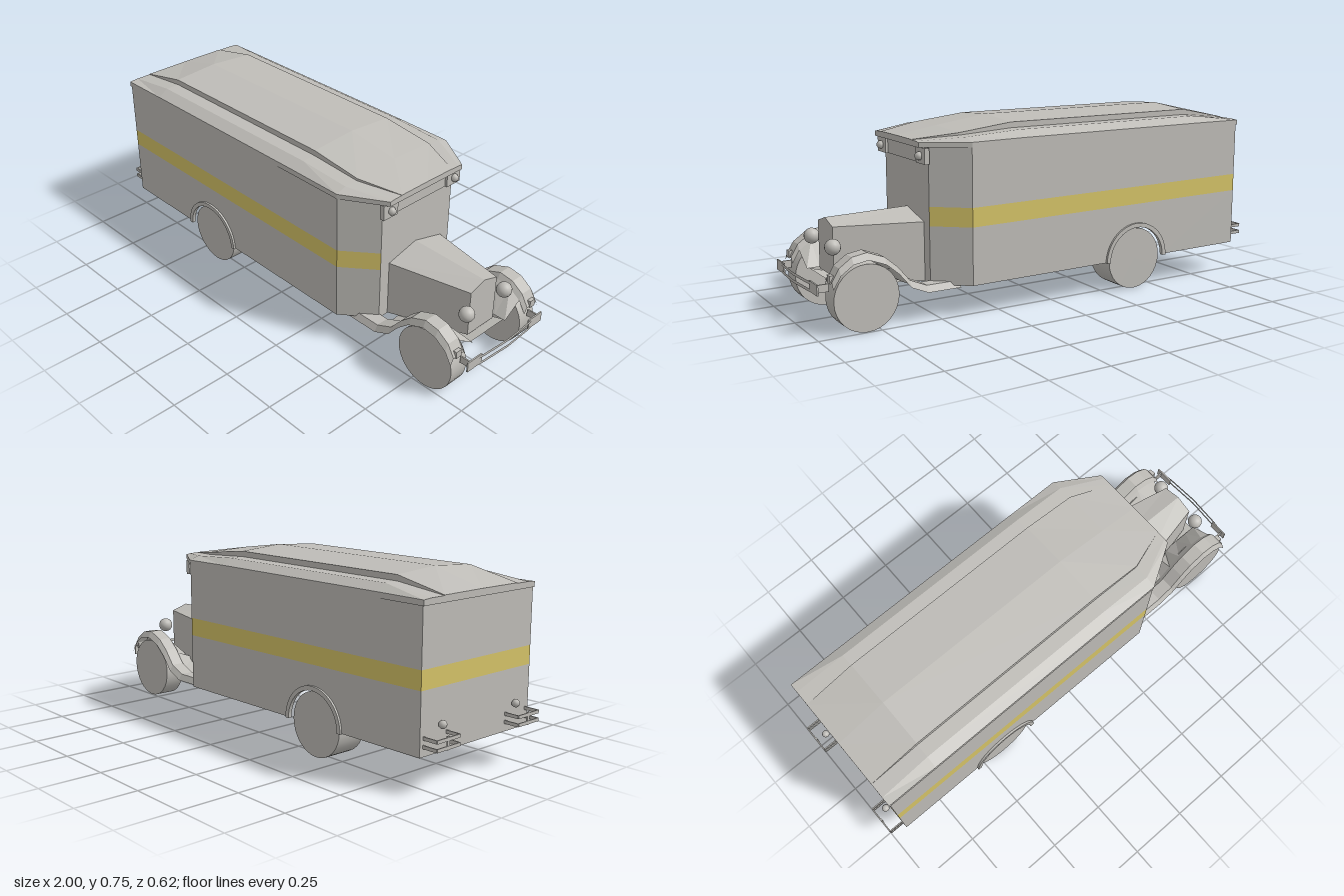
import * as THREE from 'three';

const grey = new THREE.MeshStandardMaterial({ color: 0xbfbdb8, side: THREE.DoubleSide });
grey.name = 'grey paint';
const yellow = new THREE.MeshStandardMaterial({ color: 0xd6c468, side: THREE.DoubleSide });
yellow.name = 'yellow stripe';

// Faceted sheet lofted through rows of [x, y, z] points
function sheet(rows) {
  const v = [];
  for (let i = 0; i + 1 < rows.length; i++) {
    for (let j = 0; j + 1 < rows[i].length; j++) {
      const a = rows[i][j], b = rows[i][j + 1], c = rows[i + 1][j + 1], d = rows[i + 1][j];
      v.push(...a, ...b, ...c, ...a, ...c, ...d);
    }
  }
  const g = new THREE.BufferGeometry();
  g.setAttribute('position', new THREE.Float32BufferAttribute(v, 3));
  g.computeVertexNormals();
  return g;
}

export function createModel() {
  const model = new THREE.Group();
  model.name = 'van';
  const add = (name, geo, mat = grey, x = 0, y = 0, z = 0) => {
    const m = new THREE.Mesh(geo, mat);
    m.name = name;
    m.position.set(x, y, z);
    model.add(m);
    return m;
  };
  const box = (name, w, h, d, x, y, z) => add(name, new THREE.BoxGeometry(w, h, d), grey, x, y, z);

  const rear = -0.935, corner = 0.39, nose = 0.52, wheelX = -0.395;
  // Wall levels at the back and front: sill, stripe bottom, stripe top, eave
  const back = [0.135, 0.372, 0.445, 0.68], front = [0.128, 0.358, 0.434, 0.67];

  for (const s of [1, -1]) {
    // Lower side wall with the rear wheel opening
    const low = new THREE.Shape();
    low.moveTo(rear, back[0]);
    low.lineTo(wheelX - 0.14, 0.132);
    low.absarc(wheelX, 0.132, 0.14, Math.PI, 0, true);
    low.lineTo(corner, front[0]);
    low.lineTo(corner, front[1]);
    low.lineTo(rear, back[1]);
    add('lowerSideWall', new THREE.ShapeGeometry(low, 24), grey, 0, 0, s * 0.302);

    // Stripe, upper wall and angled front corners
    for (let i = 0; i < 3; i++) {
      const mat = i === 1 ? yellow : grey;
      if (i > 0) add(i === 1 ? 'sideStripe' : 'upperSideWall', sheet([
        [[rear, back[i], s * 0.302], [corner, front[i], s * 0.302]],
        [[rear, back[i + 1], s * 0.302], [corner, front[i + 1], s * 0.302]]]), mat);
      add(i === 1 ? 'cornerStripe' : 'cornerPanel', sheet([
        [[corner, front[i], s * 0.302], [nose, front[i], s * 0.195]],
        [[corner, front[i + 1], s * 0.302], [nose, front[i + 1], s * 0.195]]]), mat);
    }

    // Rear wheel arch trim
    const arch = new THREE.Shape();
    arch.absarc(0, 0, 0.155, 0, Math.PI, false);
    arch.absarc(0, 0, 0.137, Math.PI, 0, true);
    add('rearWheelArch', new THREE.ExtrudeGeometry(arch, { depth: 0.016, bevelEnabled: false, curveSegments: 16 }),
      grey, wheelX, 0.13, s > 0 ? 0.295 : -0.311);

    // Wheels
    for (const [name, x, w, z] of [['rearWheel', wheelX, 0.13, 0.225], ['frontWheel', 0.805, 0.085, 0.2035]]) {
      add(name, new THREE.CylinderGeometry(0.13, 0.13, w, 32), grey, x, 0.13, s * z).rotation.x = Math.PI / 2;
    }

    // Front fender sweeping back into the running board
    const path = [[0.42, 0.135], [0.56, 0.135], [0.63, 0.165], [0.68, 0.225], [0.73, 0.268],
      [0.8, 0.295], [0.86, 0.285], [0.91, 0.25], [0.94, 0.2]];
    add('frontFender', sheet(path.map(([x, y]) => [
      [x, y - 0.015, s * 0.175], [x, y + 0.008, s * 0.19], [x, y + 0.008, s * 0.245], [x, y - 0.018, s * 0.26]])));
    // Apron between fender and hood
    add('fenderApron', sheet(path.slice(1, 8).map(([x, y]) => [
      [x, y - 0.015, s * 0.175], [x, Math.min(y - 0.005, 0.18), s * 0.095]])));

    // Headlights and marker lights
    add('headlight', new THREE.SphereGeometry(0.031, 16, 12), grey, 0.88, 0.305, s * 0.11);
    add('markerLight', new THREE.SphereGeometry(0.017, 7, 5), grey, 0.55, 0.63, s * 0.176);
    box('markerBoard', 0.02, 0.062, 0.076, 0.535, 0.631, s * 0.176);

    // Front bumper ends and brackets
    box('bumperEnd', 0.006, 0.042, 0.08, 0.985, 0.18, s * 0.18);
    box('bumperBracket', 0.05, 0.03, 0.006, 0.962, 0.18, s * 0.2);
    box('fenderBracket', 0.015, 0.03, 0.028, 0.935, 0.216, s * 0.219);

    // Rear bumperettes and tail lights
    for (const y of [0.172, 0.203]) {
      box('rearBumperBar', 0.005, 0.013, 0.12, -0.997, y, s * 0.225);
      for (const z of [0.165, 0.285]) box('rearBumperArm', 0.062, 0.013, 0.005, -0.966, y, s * z);
    }
    box('rearBumperPost', 0.006, 0.05, 0.012, -0.995, 0.188, s * 0.225);
    add('tailLight', new THREE.SphereGeometry(0.016, 8, 6), grey, -0.952, 0.24, s * 0.205);
  }

  // Rear wall in three bands, and plain front wall
  for (let i = 0; i < 3; i++) {
    add(i === 1 ? 'rearStripe' : 'rearWall', sheet([
      [[rear, back[i], -0.302], [rear, back[i], 0.302]],
      [[rear, back[i + 1], -0.302], [rear, back[i + 1], 0.302]]]), i === 1 ? yellow : grey);
  }
  add('frontWall', sheet([
    [[nose, 0.128, 0.195], [nose, 0.128, -0.195]], [[nose, 0.67, 0.195], [nose, 0.67, -0.195]]]));
  box('visorBoard', 0.012, 0.062, 0.28, 0.529, 0.631, 0);

  // Roof: half sections from eave to ridge, mirrored and lofted along x
  const level = [[0, 0.75], [0.2, 0.736], [0.2, 0.713], [0.26, 0.713], [0.305, 0.687], [0.305, 0.665]];
  const sections = [
    [-0.94, [[0, 0.692], [0.2, 0.691], [0.2, 0.689], [0.265, 0.689], [0.305, 0.686], [0.305, 0.665]]],
    [-0.72, level],
    [0.16, level],
    [0.39, [[0, 0.717], [0.2, 0.71], [0.2, 0.7], [0.26, 0.7], [0.305, 0.685], [0.305, 0.665]]],
    [0.563, [[0, 0.69], [0.14, 0.689], [0.14, 0.688], [0.18, 0.687], [0.2, 0.684], [0.2, 0.665]]],
  ];
  const rings = sections.map(([x, half]) => [
    ...half.slice().reverse().map(([z, y]) => [x, y, -z]),
    ...half.slice(1).map(([z, y]) => [x, y, z]),
    [x, half[5][1], -half[5][0]]]);
  const flat = (ring) => ring.map(([x, , z]) => [x, 0.665, z]);
  add('roof', sheet([flat(rings[0]), ...rings, flat(rings[4])]));

  // Tapered hood with peaked top and flat grille
  const hoodRing = (x, w, side, peak, floor) => [
    [x, floor, w], [x, side, w], [x, peak, 0], [x, side, -w], [x, floor, -w]];
  const grille = hoodRing(0.865, 0.075, 0.373, 0.397, 0.18);
  add('hood', sheet([hoodRing(nose, 0.148, 0.367, 0.405, 0.13), grille]));
  add('grille', sheet([grille, grille.map(([x, , z]) => [x, 0.18, z])]));
  // Sloped pan under the engine
  add('enginePan', sheet([[nose, 0.128], [0.72, 0.126], [0.9, 0.18]].map(([x, y]) => [[x, y, 0.098], [x, y, -0.098]])));

  // Twin front bumper bars, bowed slightly forward
  for (const y of [0.166, 0.195]) {
    add('frontBumperBar', sheet([-0.006, 0.006].map((h) =>
      [-0.21, -0.14, 0, 0.14, 0.21].map((z) => [1 - 0.4 * z * z, y + h, z]))));
  }
  return model;
}
